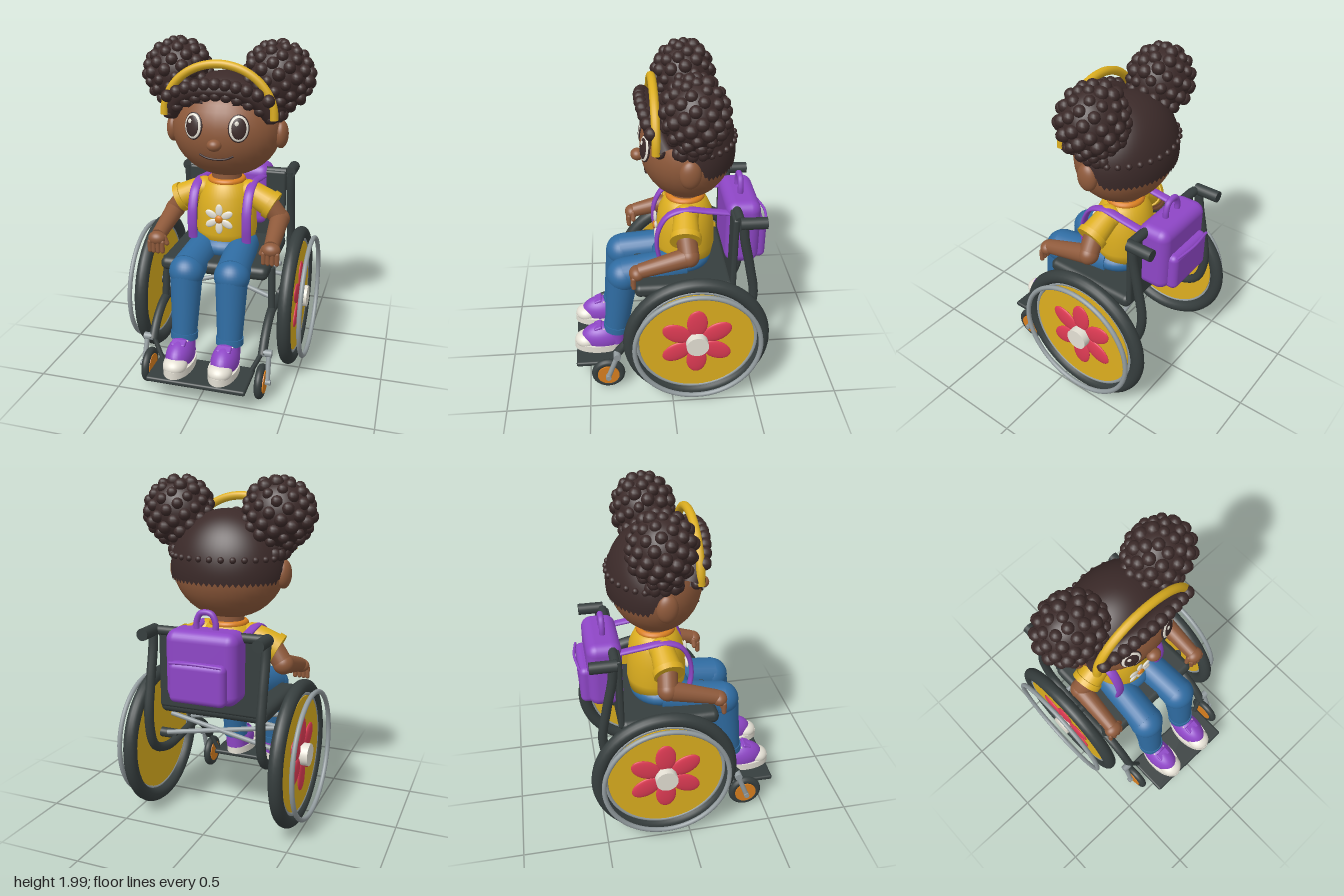
import * as THREE from 'three';
import { RoundedBoxGeometry } from 'three/addons/geometries/RoundedBoxGeometry.js';

const mat = (name, color) => {
  const m = new THREE.MeshStandardMaterial({ color });
  m.name = name;
  return m;
};
const M = {
  hair: mat('dark brown', 0x3b2a29), skin: mat('brown skin', 0x8f5a3b), yellow: mat('yellow', 0xdcae1f),
  purple: mat('purple', 0x8e46c6), blue: mat('denim blue', 0x2f6ca2), dark: mat('charcoal', 0x363e3e),
  metal: mat('steel', 0x929b9e), white: mat('off white', 0xe4e0d4), red: mat('petal red', 0xde3b54),
  orange: mat('orange', 0xd97f1f),
};
const V = (p) => new THREE.Vector3(...p);
const ball = new THREE.SphereGeometry(1, 32, 20);
const curl = new THREE.SphereGeometry(1, 12, 9);
const HEAD = { y: 1.48, z: -0.11, rx: 0.325, ry: 0.285, rz: 0.262 };

export function createModel() {
  const root = new THREE.Group();
  root.name = 'girlInWheelchair';

  // Helpers
  const add = (name, geo, m, pos = [0, 0, 0], parent = root) => {
    const mesh = new THREE.Mesh(geo, m);
    mesh.name = name;
    mesh.position.set(...pos);
    parent.add(mesh);
    return mesh;
  };
  const ell = (name, m, pos, r, parent = root, geo = ball) => {
    const mesh = add(name, geo, m, pos, parent);
    mesh.scale.set(...r);
    return mesh;
  };
  const tube = (name, m, pts, r, parent = root) =>
    add(name, new THREE.TubeGeometry(new THREE.CatmullRomCurve3(pts.map(V)), 48, r, 12), m, [0, 0, 0], parent);
  const limb = (name, m, a, b, ra, rb) => { // tapered rod from a to b
    const d = V(b).sub(V(a));
    const mesh = add(name, new THREE.CylinderGeometry(rb, ra, d.length(), 24), m);
    mesh.position.copy(V(a)).addScaledVector(d, 0.5);
    mesh.quaternion.setFromUnitVectors(new THREE.Vector3(0, 1, 0), d.normalize());
    return mesh;
  };
  const box = (name, m, size, r, pos) => add(name, new RoundedBoxGeometry(...size, 4, r), m, pos);
  const ring = (name, m, R, r, pos) => { // ring whose axle runs along x
    const mesh = add(name, new THREE.TorusGeometry(R, r, 14, 64), m, pos);
    mesh.rotation.y = Math.PI / 2;
    return mesh;
  };
  const drum = (name, m, r, width, pos) => {
    const mesh = add(name, new THREE.CylinderGeometry(r, r, width, 48), m, pos);
    mesh.rotation.z = Math.PI / 2;
    return mesh;
  };
  const faceZ = (x, y) =>
    HEAD.z + HEAD.rz * Math.sqrt(Math.max(0, 1 - (x / HEAD.rx) ** 2 - ((y - HEAD.y) / HEAD.ry) ** 2));
  const faceLine = (name, pts, r) => tube(name, M.hair, pts.map(([x, y]) => [x, y, faceZ(x, y) + 0.002]), r);

  // Head
  ell('head', M.skin, [0, HEAD.y, HEAD.z], [HEAD.rx, HEAD.ry, HEAD.rz]);
  ell('nose', M.skin, [0, 1.435, 0.165], [0.042, 0.034, 0.038]);
  faceLine('mouth', [[-0.1, 1.368], [-0.06, 1.35], [0, 1.343], [0.06, 1.35], [0.1, 1.368]], 0.006);
  limb('neck', M.skin, [0, 1.1, -0.11], [0, 1.26, -0.11], 0.09, 0.09);

  // Hair cap: a sphere whose lower edge follows the hairline
  const cap = new THREE.SphereGeometry(1, 64, 28);
  const p = cap.attributes.position;
  const uv = cap.attributes.uv;
  for (let i = 0; i < p.count; i++) {
    const phi = uv.getX(i) * Math.PI * 2;
    const s = Math.sin(phi);
    const edge = 1.41 + 0.12 * THREE.MathUtils.smoothstep(s, -0.35, 0) + 0.15 * THREE.MathUtils.smoothstep(s, 0, 0.85);
    const theta = (1 - uv.getY(i)) * Math.acos((edge - HEAD.y) / 0.33);
    p.setXYZ(i, -Math.cos(phi) * Math.sin(theta) * 0.338, Math.cos(theta) * 0.33, s * Math.sin(theta) * 0.276);
  }
  cap.computeVertexNormals();
  const capMat = M.hair;
  capMat.side = THREE.DoubleSide;
  add('hairCap', cap, capMat, [0, HEAD.y, HEAD.z]);

  // Fringe roll with curls, and a row of small curls round the back
  tube('fringe', M.hair, [[-0.3, 1.58, 0.03], [-0.22, 1.68, 0.08], [-0.1, 1.73, 0.11], [0, 1.735, 0.115],
    [0.1, 1.73, 0.11], [0.22, 1.68, 0.08], [0.3, 1.58, 0.03]], 0.05);
  for (let i = -5; i <= 5; i++) {
    const x = i * 0.058;
    ell('fringeCurl', M.hair, [x, 1.77 - 1.0 * x * x, 0.145 - 0.5 * x * x], [0.036, 0.036, 0.036], root, curl);
    ell('fringeCurl', M.hair, [x * 1.03, 1.705 - 1.5 * x * x, 0.135 - 0.9 * x * x], [0.035, 0.03, 0.03], root, curl);
  }
  for (let i = 0; i <= 16; i++) {
    const a = Math.PI * (1 + i / 16);
    ell('backCurl', M.hair, [0.33 * Math.cos(a), 1.555, HEAD.z + 0.268 * Math.sin(a)], [0.018, 0.018, 0.018], root, curl);
  }

  // Headband
  const band = [];
  for (let i = 0; i <= 16; i++) {
    const a = -0.03 + (Math.PI + 0.06) * i / 16;
    band.push([0.318 * Math.cos(a), 1.585 + 0.285 * Math.sin(a), 0.078]);
  }
  tube('headband', M.yellow, band, 0.024);

  // Torso and clothing
  const profile = [[0, 0.76], [0.17, 0.78], [0.185, 0.86], [0.18, 0.98], [0.165, 1.08], [0.13, 1.15], [0.09, 1.175], [0, 1.18]];
  const shirt = add('shirt', new THREE.LatheGeometry(profile.map(([x, y]) => new THREE.Vector2(x, y)), 48), M.yellow, [0, 0, -0.11]);
  shirt.scale.z = 0.95;
  const collar = add('collar', new THREE.TorusGeometry(0.095, 0.02, 12, 40), M.orange, [0, 1.165, -0.11]);
  collar.rotation.x = Math.PI / 2;
  ell('hips', M.blue, [0, 0.77, -0.09], [0.2, 0.09, 0.18]);
  for (let i = 0; i < 6; i++) {
    const a = Math.PI / 2 + i * Math.PI / 3;
    const petal = ell('shirtPetal', M.white, [0.055 * Math.cos(a), 0.965 + 0.055 * Math.sin(a), 0.066], [0.038, 0.022, 0.009]);
    petal.rotation.z = a;
  }
  ell('shirtFlowerCentre', M.orange, [0, 0.965, 0.072], [0.024, 0.024, 0.012]);

  // Backpack
  box('backpack', M.purple, [0.42, 0.4, 0.2], 0.06, [0, 0.99, -0.43]);
  box('backpackPocket', M.purple, [0.33, 0.23, 0.09], 0.035, [0, 0.915, -0.53]);
  tube('pocketFlap', M.purple, [[-0.15, 1.025, -0.572], [0, 1.035, -0.59], [0.15, 1.025, -0.572]], 0.008);
  tube('backpackHandle', M.purple, [[-0.055, 1.16, -0.425], [-0.055, 1.23, -0.425], [-0.03, 1.275, -0.425],
    [0.03, 1.275, -0.425], [0.055, 1.23, -0.425], [0.055, 1.16, -0.425]], 0.017);

  // Chair seat, back, footplate and cross braces
  box('seat', M.dark, [0.65, 0.08, 0.58], 0.035, [0, 0.7, -0.08]);
  box('backrest', M.dark, [0.63, 0.46, 0.035], 0.015, [0, 0.93, -0.365]);
  limb('backrestTop', M.dark, [-0.31, 1.15, -0.385], [0.31, 1.15, -0.385], 0.027, 0.027);
  box('footplate', M.dark, [0.585, 0.03, 0.265], 0.012, [0, 0.145, 0.448]);

  for (const s of [-1, 1]) {
    const X = (x, y, z) => [s * x, y, z];

    // Eyes, brows and ears
    const eye = new THREE.Group();
    eye.name = 'eye';
    eye.position.set(s * 0.13, 1.53, faceZ(0.13, 1.53));
    eye.rotation.set(-0.14, s * 0.33, 0);
    root.add(eye);
    ell('eyeOutline', M.hair, [0, 0, 0], [0.06, 0.078, 0.014], eye);
    ell('eyeWhite', M.white, [0, 0, 0.004], [0.055, 0.072, 0.014], eye);
    ell('iris', M.hair, [0, 0, 0.009], [0.044, 0.061, 0.013], eye);
    ell('eyeHighlight', M.white, [-0.012, 0.026, 0.017], [0.013, 0.015, 0.006], eye);
    faceLine('eyebrow', [[s * 0.18, 1.625], [s * 0.14, 1.652], [s * 0.085, 1.655]], 0.008);
    ell('ear', M.skin, X(0.325, 1.46, -0.1), [0.042, 0.082, 0.06]);

    // Hair puff covered in curls
    ell('puff', M.hair, X(0.297, 1.785, -0.122), [0.185, 0.185, 0.165]);
    ell('puffBase', M.hair, X(0.28, 1.62, -0.11), [0.075, 0.09, 0.1]);
    const n = 80;
    for (let i = 0; i < n; i++) {
      const y = 1 - (2 * i + 1) / n;
      const q = Math.sqrt(1 - y * y);
      const a = i * 2.39996;
      const r = 0.03 + 0.008 * ((i * 7) % 5) / 4;
      ell('puffCurl', M.hair, X(0.297 + 0.181 * q * Math.cos(a), 1.785 + 0.18 * y, -0.122 + 0.158 * q * Math.sin(a)), [r, r, r], root, curl);
    }
    for (let i = 0; i < 8; i++) {
      const a = i * Math.PI / 4;
      ell('puffBaseCurl', M.hair, X(0.3 + 0.03 * Math.cos(a), 1.575, -0.11 + 0.075 * Math.sin(a)), [0.032, 0.038, 0.032], root, curl);
    }

    // Arm, sleeve and hand
    limb('sleeve', M.yellow, X(0.13, 1.11, -0.1), X(0.285, 1.03, -0.085), 0.068, 0.082);
    ell('shoulder', M.yellow, X(0.14, 1.1, -0.1), [0.07, 0.07, 0.075]);
    limb('sleeveCuff', M.yellow, X(0.265, 1.04, -0.087), X(0.295, 1.024, -0.084), 0.09, 0.09);
    limb('upperArm', M.skin, X(0.26, 1.04, -0.09), X(0.33, 0.945, -0.1), 0.06, 0.058);
    ell('elbow', M.skin, X(0.33, 0.945, -0.1), [0.061, 0.06, 0.06]);
    limb('forearm', M.skin, X(0.33, 0.945, -0.1), X(0.34, 0.87, 0.18), 0.058, 0.043);
    ell('hand', M.skin, X(0.342, 0.86, 0.195), [0.054, 0.042, 0.045]);
    for (let i = 0; i < 4; i++)
      add('finger', new THREE.CapsuleGeometry(0.014, 0.055, 4, 10), M.skin, X(0.303 + i * 0.026, 0.815, 0.222 - 0.004 * Math.abs(i - 1.5)));
    const thumb = add('thumb', new THREE.CapsuleGeometry(0.015, 0.04, 4, 10), M.skin, X(0.292, 0.85, 0.19));
    thumb.rotation.z = -s * 0.4;

    // Leg
    limb('thigh', M.blue, X(0.11, 0.76, -0.1), X(0.135, 0.71, 0.27), 0.095, 0.1);
    ell('knee', M.blue, X(0.135, 0.705, 0.27), [0.104, 0.1, 0.1]);
    limb('lowerLeg', M.blue, X(0.135, 0.7, 0.275), X(0.138, 0.32, 0.325), 0.095, 0.073);
    limb('trouserCuff', M.blue, X(0.138, 0.345, 0.322), X(0.138, 0.305, 0.327), 0.08, 0.08);

    // Shoe
    ell('shoe', M.purple, X(0.135, 0.24, 0.41), [0.08, 0.098, 0.138]);
    limb('ankle', M.purple, X(0.136, 0.22, 0.335), X(0.138, 0.33, 0.327), 0.066, 0.064);
    const sole = add('sole', new THREE.CylinderGeometry(1, 1, 0.045, 40), M.white, X(0.133, 0.195, 0.43));
    sole.scale.set(0.086, 1, 0.16);
    ell('toeCap', M.white, X(0.133, 0.225, 0.515), [0.07, 0.05, 0.072]);
    box('shoeTab', M.purple, [0.085, 0.02, 0.05], 0.008, X(0.135, 0.325, 0.44)).rotation.x = 0.4;
    limb('lace', M.white, X(0.09, 0.323, 0.403), X(0.18, 0.323, 0.403), 0.005, 0.005);

    // Backpack strap, a flattened tube
    tube('strap', M.purple, [[0, 0.83, 0.055], [0, 0.93, 0.07], [0, 1.03, 0.058], [0, 1.12, 0.005], [0, 1.155, -0.09],
      [0, 1.14, -0.22], [0, 1.12, -0.36]], 0.013).scale.x = 2.2;
    root.children[root.children.length - 1].position.x = s * 0.165;

    // Side frame with push handle
    tube('sideFrame', M.dark, [X(0.335, 1.15, -0.4), X(0.335, 1.05, -0.41), X(0.335, 0.86, -0.45), X(0.335, 0.65, -0.48),
      X(0.335, 0.48, -0.43), X(0.335, 0.41, -0.27), X(0.335, 0.42, -0.05), X(0.335, 0.43, 0.12), X(0.335, 0.36, 0.25), X(0.335, 0.26, 0.335)], 0.027);
    limb('pushHandle', M.dark, X(0.335, 1.15, -0.38), X(0.335, 1.15, -0.53), 0.034, 0.034);
    limb('seatPost', M.dark, X(0.325, 0.7, 0.08), X(0.335, 0.42, 0.1), 0.022, 0.022);
    limb('footplateHanger', M.dark, X(0.335, 0.28, 0.325), X(0.27, 0.145, 0.35), 0.014, 0.014);
    limb('crossBrace', M.metal, X(0.325, 0.64, -0.1), X(-0.325, 0.49, 0.05), 0.014, 0.014);
    limb('crossBrace', M.metal, X(0.325, 0.5, -0.28), X(-0.325, 0.6, -0.22), 0.014, 0.014);

    // Drive wheel
    const wheel = (x) => X(x, 0.435, -0.14);
    ring('tyre', M.dark, 0.389, 0.04, wheel(0.438));
    ring('rim', M.metal, 0.348, 0.012, wheel(0.45));
    ring('pushRim', M.metal, 0.366, 0.014, wheel(0.522));
    drum('wheelDisc', M.yellow, 0.337, 0.02, wheel(0.45));
    drum('hub', M.white, 0.065, 0.07, wheel(0.479));
    drum('axle', M.dark, 0.03, 0.12, wheel(0.385));
    for (let i = 0; i < 6; i++) {
      const a = Math.PI / 2 + i * Math.PI / 3;
      const petal = ell('wheelPetal', M.red, X(0.463, 0.435 + 0.135 * Math.sin(a), -0.14 + 0.135 * Math.cos(a)), [0.014, 0.06, 0.092]);
      petal.rotation.x = -a;
    }

    // Caster wheel and fork
    const caster = (x) => X(x, 0.12, 0.385);
    ring('casterTyre', M.dark, 0.079, 0.023, caster(0.34));
    drum('casterHub', M.orange, 0.066, 0.05, caster(0.342));
    drum('casterAxle', M.metal, 0.016, 0.04, caster(0.378));
    limb('casterFork', M.metal, X(0.378, 0.11, 0.388), X(0.372, 0.28, 0.325), 0.015, 0.015);
    limb('forkBridge', M.metal, X(0.335, 0.275, 0.328), X(0.39, 0.275, 0.328), 0.022, 0.022);
  }
  return root;
}
